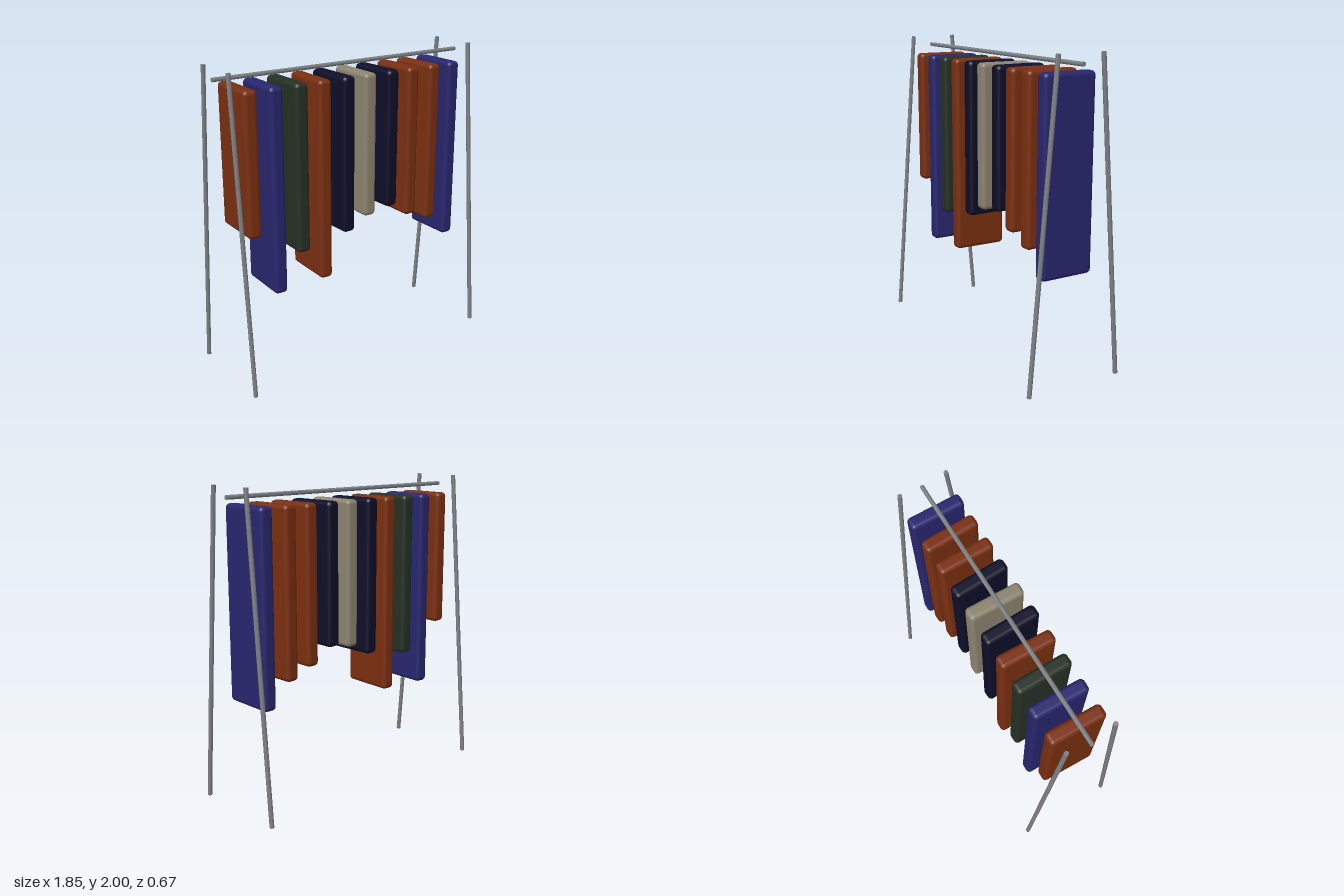
import * as THREE from 'three';
import { RoundedBoxGeometry } from 'three/addons/geometries/RoundedBoxGeometry.js';

const mat = (name, color) => {
  const m = new THREE.MeshStandardMaterial({ color });
  m.name = name;
  return m;
};

// Straight round tube between two points
function tube(name, a, b, radius, material) {
  const dir = new THREE.Vector3().subVectors(b, a);
  const mesh = new THREE.Mesh(new THREE.CylinderGeometry(radius, radius, dir.length(), 8), material);
  mesh.position.addVectors(a, b).multiplyScalar(0.5);
  mesh.quaternion.setFromUnitVectors(new THREE.Vector3(0, 1, 0), dir.normalize());
  mesh.name = name;
  return mesh;
}

export function createModel() {
  const model = new THREE.Group();
  model.name = 'clothesRack';

  const metal = mat('grey metal', 0x7e8184);
  const rust = mat('rust cloth', 0x7a2f10);
  const blue = mat('blue cloth', 0x28266e);
  const green = mat('dark green cloth', 0x263024);
  const navy = mat('navy cloth', 0x0e0e28);
  const beige = mat('beige cloth', 0x8c836f);

  // Four leaning legs
  for (const sx of [-1, 1]) {
    for (const sz of [-1, 1]) {
      const name = (sz > 0 ? 'front' : 'back') + (sx > 0 ? 'Left' : 'Right') + 'Leg';
      model.add(tube(name,
        new THREE.Vector3(sx * 0.9, 0.001, sz * 0.322),
        new THREE.Vector3(sx * 0.9, 1.999, sz * 0.155), 0.0145, metal));
    }
  }

  // Hanging rail
  model.add(tube('rail', new THREE.Vector3(-0.926, 1.937, 0), new THREE.Vector3(0.926, 1.937, 0), 0.0135, metal));

  // Garments from right to left: hem height, slight turn, cloth
  const garments = [
    [0.978, -0.03, rust], [0.567, -0.025, blue], [0.806, 0, green], [0.584, -0.03, rust],
    [0.864, 0.02, navy], [0.942, -0.02, beige], [0.97, 0.04, navy], [0.876, 0, rust],
    [0.812, 0.035, rust], [0.661, -0.005, blue],
  ];
  const top = 1.887;
  garments.forEach(([hem, turn, cloth], i) => {
    const mesh = new THREE.Mesh(new RoundedBoxGeometry(0.09, top - hem, 0.358, 3, 0.027), cloth);
    mesh.position.set(-0.7695 + i * 0.171, (top + hem) / 2, 0);
    mesh.rotation.y = turn;
    mesh.name = 'garment' + (i + 1);
    model.add(mesh);
  });

  return model;
}
